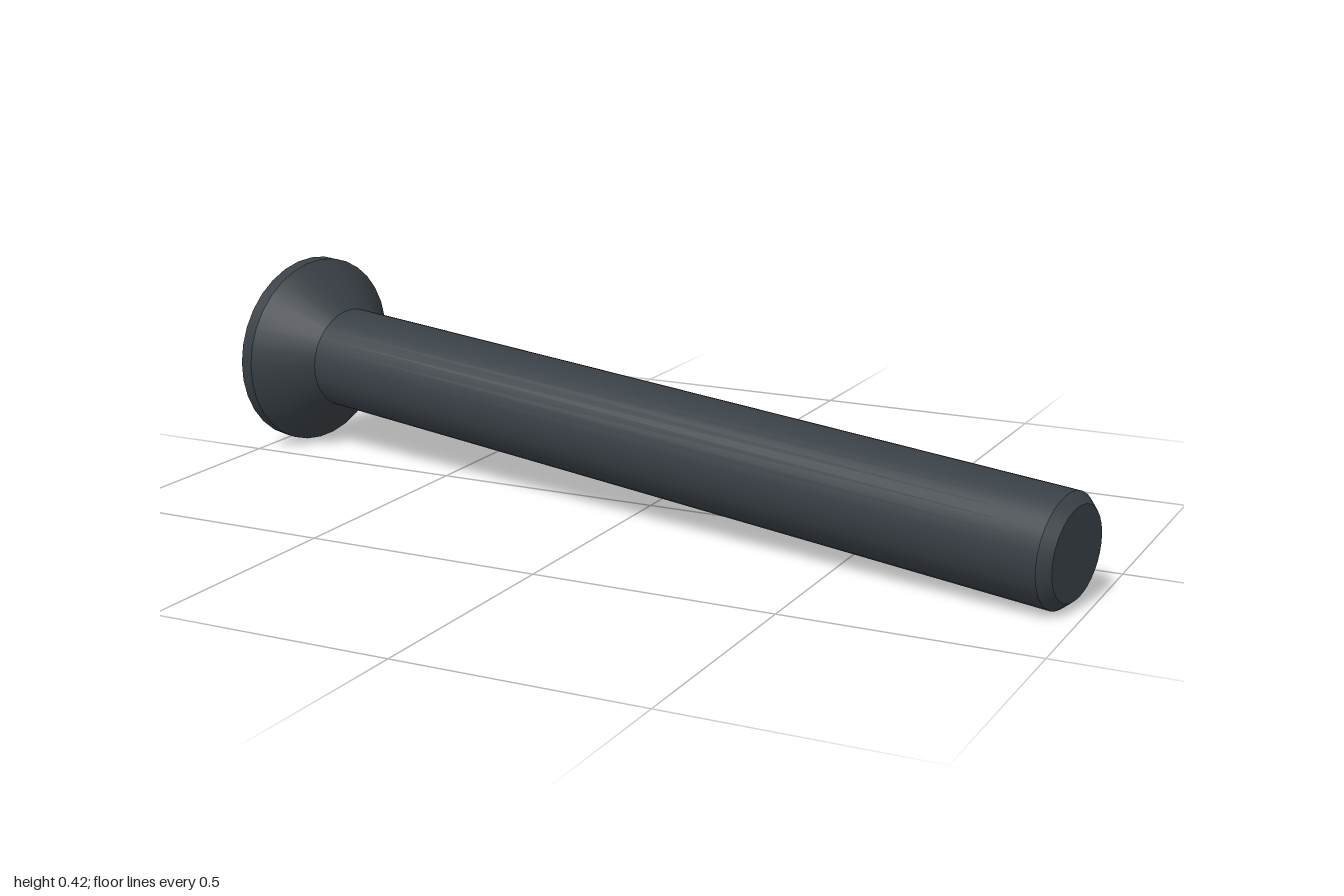
import * as THREE from 'three';
import { toCreasedNormals } from 'three/addons/utils/BufferGeometryUtils.js';

const SIDES = 32;
const HEAD_R = 0.211, SHAFT_R = 0.112, LENGTH = 1.981;
const RIM = 0.03, CONE_END = 0.13, RECESS_DEPTH = 0.09;

const steel = new THREE.MeshStandardMaterial({ color: 0x383f45 });
steel.name = 'dark steel';

function part(name, geometry) {
  const mesh = new THREE.Mesh(geometry, steel);
  mesh.name = name;
  return mesh;
}

// Revolve [radius, distance along the screw] points about the x axis
function turned(points) {
  const lathe = new THREE.LatheGeometry(points.map(([r, d]) => new THREE.Vector2(r, d)), SIDES);
  return toCreasedNormals(lathe.rotateZ(-Math.PI / 2), Math.PI / 6);
}

// Counter-clockwise plus-shaped outline: arm reach a, half width w
function cross(a, w) {
  const arm = [[a, -w], [a, w], [w, w]];
  const points = [];
  for (let k = 0; k < 4; k++) {
    const c = Math.round(Math.cos(k * Math.PI / 2)), s = Math.round(Math.sin(k * Math.PI / 2));
    for (const [x, y] of arm) points.push(new THREE.Vector2(x * c - y * s, x * s + y * c));
  }
  return points;
}

// Tapered walls running from the upper outline down to the lower one
function recessWalls(upper, lower, depth) {
  const positions = [];
  upper.forEach((a, i) => {
    const j = (i + 1) % upper.length;
    const b = upper[j], c = lower[j], d = lower[i];
    positions.push(a.x, a.y, 0, b.x, b.y, 0, c.x, c.y, -depth);
    positions.push(a.x, a.y, 0, c.x, c.y, -depth, d.x, d.y, -depth);
  });
  const geometry = new THREE.BufferGeometry();
  geometry.setAttribute('position', new THREE.Float32BufferAttribute(positions, 3));
  geometry.computeVertexNormals();
  return geometry;
}

export function createModel() {
  const screw = new THREE.Group();
  screw.name = 'countersunk screw';

  // Countersunk head with a narrow straight rim
  screw.add(part('head', turned([[HEAD_R, 0], [HEAD_R, RIM], [SHAFT_R, CONE_END]])));

  // Plain shaft with a chamfered tip
  screw.add(part('shaft', turned([
    [SHAFT_R, CONE_END], [SHAFT_R, LENGTH - 0.022], [0.0925, LENGTH], [0, LENGTH],
  ])));

  // Flat head face with the cross recess cut into it
  const upper = cross(0.115, 0.036), lower = cross(0.065, 0.03);
  const disc = new THREE.Shape();
  for (let i = 0; i < SIDES; i++) {
    const t = i / SIDES * Math.PI * 2;
    const x = Math.cos(t) * HEAD_R, y = Math.sin(t) * HEAD_R;
    if (i === 0) disc.moveTo(x, y); else disc.lineTo(x, y);
  }
  disc.closePath();
  disc.holes.push(new THREE.Path([...upper].reverse()));

  const face = new THREE.Group();
  face.name = 'headFace';
  face.rotation.y = -Math.PI / 2;
  const floor = new THREE.ShapeGeometry(new THREE.Shape(lower)).translate(0, 0, -RECESS_DEPTH);
  face.add(
    part('facePlate', new THREE.ShapeGeometry(disc)),
    part('recessWalls', recessWalls(upper, lower, RECESS_DEPTH)),
    part('recessFloor', floor),
  );
  screw.add(face);

  // Lay the screw along its slanted axis
  const along = new THREE.Vector3(0.9767, -0.0503, 0.2085).normalize();
  const side = new THREE.Vector3().crossVectors(along, new THREE.Vector3(0, 1, 0)).normalize();
  const up = new THREE.Vector3().crossVectors(side, along);
  screw.quaternion.setFromRotationMatrix(new THREE.Matrix4().makeBasis(along, up, side));
  screw.position.set(-0.955, 0.2136, -0.1555);

  const model = new THREE.Group();
  model.name = 'screwModel';
  model.add(screw);
  return model;
}
